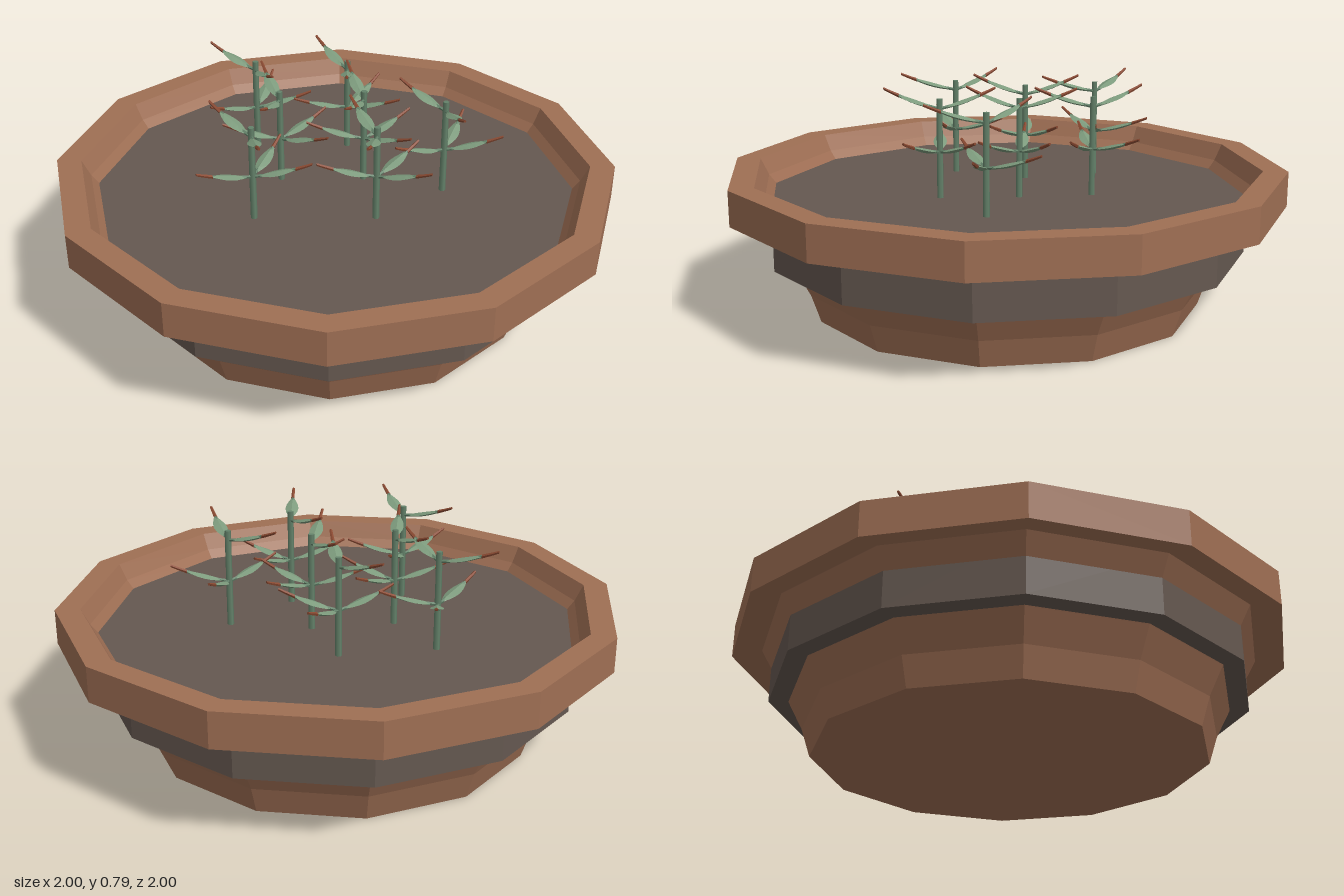
import * as THREE from 'three';

const mat = (name, color) => {
  const m = new THREE.MeshStandardMaterial({ color });
  m.name = name;
  return m;
};

// Give every face its own normal
function faceted(geo) {
  const g = geo.index ? geo.toNonIndexed() : geo;
  g.computeVertexNormals();
  return g;
}

// Gently rising strip from radius r0 to r1; size(t) gives [half width, half thickness]
function curvedBlade(r0, r1, sides, steps, size) {
  const g = new THREE.CylinderGeometry(1, 1, 1, sides, steps);
  const p = g.attributes.position;
  for (let i = 0; i < p.count; i++) {
    const t = p.getY(i) + 0.5;
    const r = r0 + (r1 - r0) * t;
    const [w, h] = size(t);
    p.setXYZ(i, r, 0.17 * r + 0.65 * r * r + p.getZ(i) * h, p.getX(i) * w);
  }
  return faceted(g);
}

export function createModel() {
  const terracotta = mat('terracotta', 0x9f6f54);
  const earth = mat('soil', 0x655850);
  const stemGreen = mat('stem green', 0x64826a);
  const leafGreen = mat('leaf green', 0x7d9b7d);
  const tipRed = mat('tip red brown', 0x8a4a32);

  const model = new THREE.Group();
  model.name = 'planter';
  const add = (parent, name, geo, material) => {
    const mesh = new THREE.Mesh(geo, material);
    mesh.name = name;
    parent.add(mesh);
    return mesh;
  };

  // Twelve-sided bowl with a heavy rim, undercut below and sloping in to the soil
  const profile = [
    [0, 0], [0.7, 0], [0.733, 0.1], [0.785, 0.2], [0.855, 0.327], [0.895, 0.4],
    [1, 0.375], [1, 0.5], [0.912, 0.5], [0.882, 0.44], [0.85, 0.4],
  ].map(([x, y]) => new THREE.Vector2(x, y));
  add(model, 'bowl', faceted(new THREE.LatheGeometry(profile, 12)), terracotta);

  // Soil layer, which stands proud of the bowl wall
  const soil = add(model, 'soil', faceted(new THREE.CylinderGeometry(0.857, 0.857, 0.205, 12)), earth);
  soil.position.y = 0.3055;

  // Shared plant parts
  const stemGeo = new THREE.CylinderGeometry(0.011, 0.012, 0.36, 6);
  const twigGeo = curvedBlade(0, 0.15, 5, 4, () => [0.006, 0.006]);
  const leafGeo = curvedBlade(0.02, 0.155, 4, 6, (t) => {
    const s = Math.sin(Math.PI * t);
    return [0.003 + 0.021 * s, 0.004 + 0.004 * s];
  });
  const tipGeo = curvedBlade(0.148, 0.205, 5, 3, (t) => [0.007 - 0.002 * t, 0.007 - 0.002 * t]);

  // Seedlings: x, z, turn in degrees
  const seedlings = [
    [-0.11, -0.41, 46], [0.19, -0.25, 24], [-0.145, -0.14, 10], [0.118, 0, 6],
    [-0.35, 0.058, 36], [0.02, 0.26, 15], [0.325, 0.21, 38],
  ];
  for (const [x, z, turn] of seedlings) {
    const plant = new THREE.Group();
    plant.name = 'seedling';
    plant.position.set(x, 0, z);
    add(plant, 'stem', stemGeo, stemGreen).position.y = 0.58;
    // Five leaves, alternating between two heights
    for (let i = 0; i < 5; i++) {
      const leaf = new THREE.Group();
      leaf.name = 'leaf';
      leaf.position.y = i % 2 ? 0.725 : 0.572;
      leaf.rotation.y = THREE.MathUtils.degToRad(turn + i * 72);
      add(leaf, 'leafTwig', twigGeo, stemGreen);
      add(leaf, 'leafBlade', leafGeo, leafGreen);
      add(leaf, 'leafTip', tipGeo, tipRed);
      plant.add(leaf);
    }
    model.add(plant);
  }
  return model;
}
